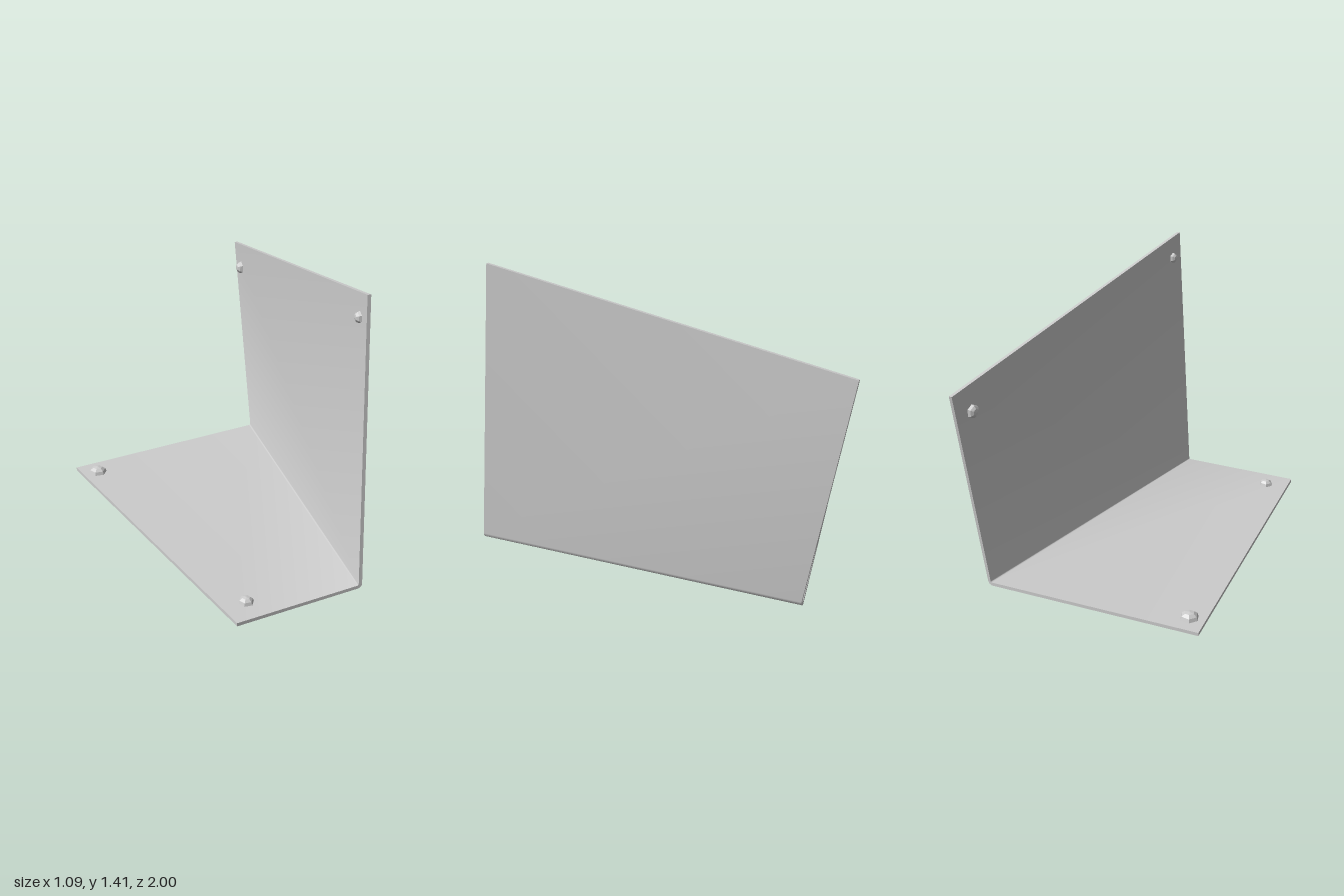
import * as THREE from 'three';
import { toCreasedNormals } from 'three/addons/utils/BufferGeometryUtils.js';

const THICK = 0.017, BEND = 0.025, STEPS = 5;

// One end of the bent sheet: floor edge, rounded fold, wall top.
// inset 0 gives the outer skin, inset THICK the inner skin.
function sectionPoints({ floor, fold, top }, inset) {
  const points = [[floor[0], inset, floor[1]]];
  const r = BEND - inset;
  for (let i = 0; i <= STEPS; i++) {
    const a = (i / STEPS) * Math.PI / 2;
    points.push([fold[0] - BEND + r * Math.sin(a), BEND - r * Math.cos(a), fold[1]]);
  }
  points.push([top[0] - inset, top[1], top[2]]);
  return points;
}

// Lofts a closed sheet between its front and back ends
function sheetGeometry(frontEnd, backEnd) {
  const f = sectionPoints(frontEnd, 0), F = sectionPoints(frontEnd, THICK);
  const b = sectionPoints(backEnd, 0), B = sectionPoints(backEnd, THICK);
  const positions = [];
  const quad = (p, q, r, s) => positions.push(...p, ...q, ...r, ...p, ...r, ...s);
  const n = f.length - 1;
  for (let k = 0; k < n; k++) {
    quad(f[k], b[k], b[k + 1], f[k + 1]); // outer skin
    quad(F[k], F[k + 1], B[k + 1], B[k]); // inner skin
    quad(f[k], f[k + 1], F[k + 1], F[k]); // front rim
    quad(b[k], B[k], B[k + 1], b[k + 1]); // back rim
  }
  quad(f[0], F[0], B[0], b[0]); // floor edge
  quad(f[n], b[n], B[n], F[n]); // wall top edge
  const geometry = new THREE.BufferGeometry();
  geometry.setAttribute('position', new THREE.Float32BufferAttribute(positions, 3));
  return toCreasedNormals(geometry, 0.6);
}

export function createModel() {
  const model = new THREE.Group();
  model.name = 'bentPlate';

  // Folded sheet: floor and upright wall in one piece
  const sheet = new THREE.Mesh(
    sheetGeometry(
      { floor: [-0.145, 0.995], fold: [0.5, 0.885], top: [0.502, 1.415, 0.78] },
      { floor: [-0.547, -0.59], fold: [0.545, -0.8], top: [0.502, 1.08, -1] }
    ),
    new THREE.MeshStandardMaterial({ color: 0xcccccc })
  );
  sheet.name = 'foldedSheet';
  model.add(sheet);

  // Six-sided domed rivets near the free corners
  const dome = new THREE.SphereGeometry(1, 6, 3, 0, Math.PI * 2, 0, Math.PI / 2);
  const rivetMaterial = new THREE.MeshStandardMaterial({ color: 0xcccccc, flatShading: true });
  const addRivet = (name, position, radius, height, onWall) => {
    const rivet = new THREE.Mesh(dome, rivetMaterial);
    rivet.name = name;
    rivet.position.set(...position);
    rivet.scale.set(radius, height, radius);
    if (onWall) rivet.rotation.z = Math.PI / 2;
    model.add(rivet);
  };
  addRivet('floorRivetBack', [-0.445, THICK, -0.51], 0.047, 0.034, false);
  addRivet('floorRivetFront', [-0.057, THICK, 0.857], 0.037, 0.03, false);
  addRivet('wallRivetFront', [0.485, 1.29, 0.715], 0.028, 0.024, true);
  addRivet('wallRivetBack', [0.485, 0.97, -0.88], 0.034, 0.028, true);

  return model;
}
